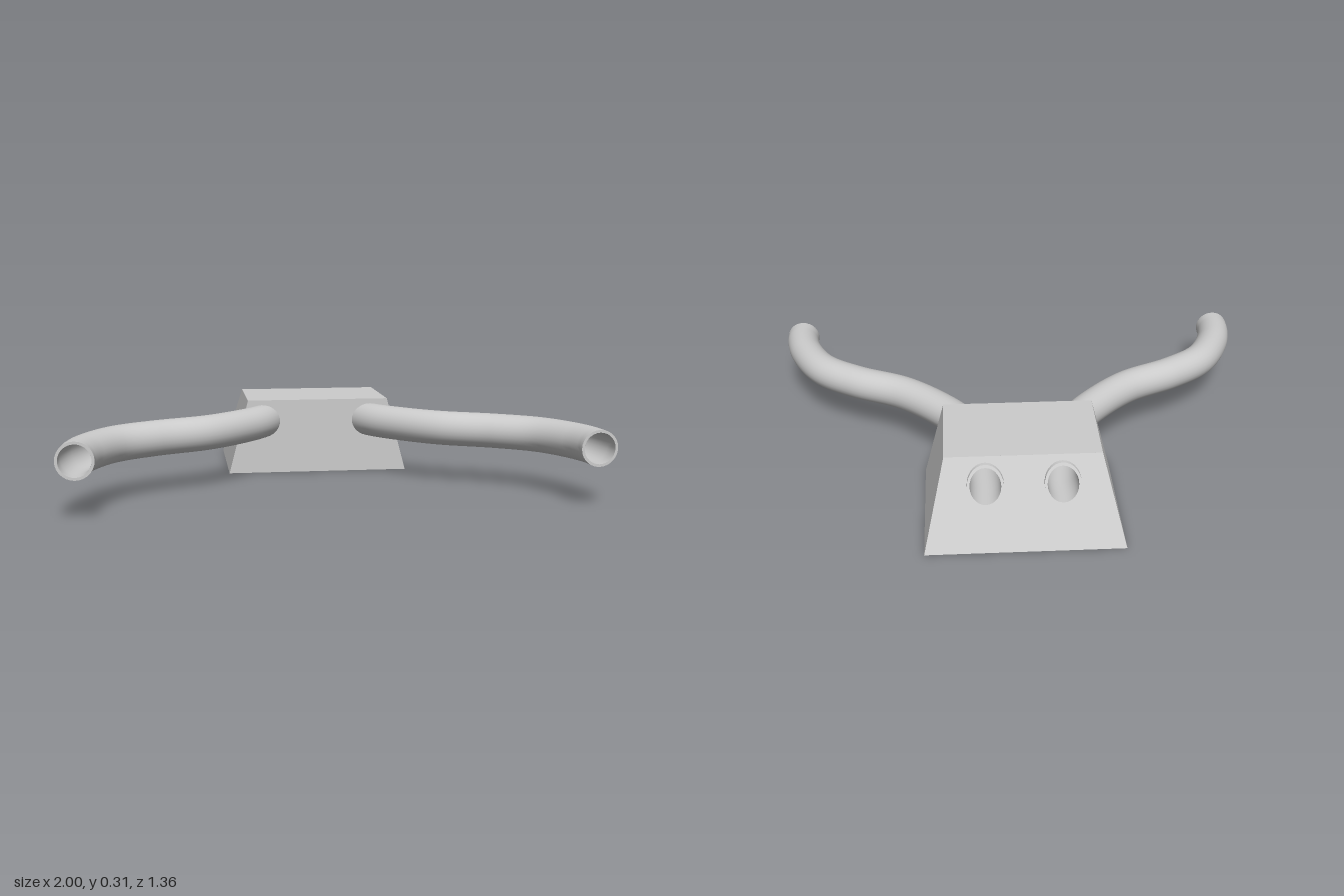
import * as THREE from 'three';

const SLOPE = 0.59;      // how far the back face leans, z per unit of height
const TUBE_Y = 0.217;    // height of the tube centre line
const BACK_Z = -0.567, FRONT_Z = 0.675;
const OUTER = 0.068, INNER = 0.058;
const HOLES = { left: 0.15, right: -0.135 };

const solid = new THREE.MeshStandardMaterial({ color: 0xcccccc, flatShading: true, side: THREE.DoubleSide });
const smooth = new THREE.MeshStandardMaterial({ color: 0xcccccc, side: THREE.DoubleSide });

function addMesh(parent, name, geometry, material) {
  const mesh = new THREE.Mesh(geometry, material);
  mesh.name = name;
  parent.add(mesh);
  return mesh;
}

// Flat panel from four corners, given counter-clockwise as seen from outside
function quad(...corners) {
  const g = new THREE.BufferGeometry();
  g.setAttribute('position', new THREE.Float32BufferAttribute(corners.flat(), 3));
  g.setIndex([0, 1, 2, 0, 2, 3]);
  g.computeVertexNormals();
  return g;
}

function buildHousing() {
  const housing = new THREE.Group();
  housing.name = 'housing';
  const h = 0.305, zf = -0.12, zb = -0.68, zt = -0.5;
  const [bl, br, tl, tr] = [-0.365, 0.38, -0.285, 0.3];
  addMesh(housing, 'housingFront', quad([bl, 0, zf], [br, 0, zf], [tr, h, zf], [tl, h, zf]), solid);
  addMesh(housing, 'housingTop', quad([tl, h, zf], [tr, h, zf], [tr, h, zt], [tl, h, zt]), solid);
  addMesh(housing, 'housingBase', quad([bl, 0, zb], [br, 0, zb], [br, 0, zf], [bl, 0, zf]), solid);
  addMesh(housing, 'housingLeftSide', quad([br, 0, zf], [br, 0, zb], [tr, h, zt], [tr, h, zf]), solid);
  addMesh(housing, 'housingRightSide', quad([bl, 0, zb], [bl, 0, zf], [tl, h, zf], [tl, h, zt]), solid);

  // Sloping back face, drawn in x and y with two openings, then leaned over
  const shape = new THREE.Shape([[bl, 0], [br, 0], [tr, h], [tl, h]].map(p => new THREE.Vector2(...p)));
  for (const x of Object.values(HOLES)) {
    shape.holes.push(new THREE.Path().absarc(x, TUBE_Y, INNER + 0.004, 0, Math.PI * 2, true));
  }
  const back = new THREE.ShapeGeometry(shape, 24);
  const p = back.attributes.position;
  for (let i = 0; i < p.count; i++) p.setZ(i, zb + SLOPE * p.getY(i));
  // Turn the triangles so they face backwards
  const idx = back.index;
  for (let i = 0; i < idx.count; i += 3) {
    const a = idx.getX(i);
    idx.setX(i, idx.getX(i + 1));
    idx.setX(i + 1, a);
  }
  back.computeVertexNormals();
  addMesh(housing, 'housingBack', back, solid);
  return housing;
}

// One tube wall: flat at the front end, cut along the slope at the back end
function tubeWall(curve, radius) {
  const rings = 56, sides = 28;
  const g = new THREE.TubeGeometry(curve, rings, radius, sides);
  const p = g.attributes.position;
  for (let i = 0; i < p.count; i++) {
    const ring = Math.floor(i / (sides + 1));
    let z = p.getZ(i);
    if (ring === 0) z = BACK_Z;
    if (ring === rings) z = FRONT_Z;
    const lean = 1 - THREE.MathUtils.smoothstep(z, BACK_Z, -0.25);
    p.setZ(i, z + SLOPE * (p.getY(i) - TUBE_Y) * lean);
  }
  return g;
}

// Rim joining inner and outer walls
function rim(x, z, lean) {
  const g = new THREE.RingGeometry(INNER, OUTER, 28);
  g.translate(x, TUBE_Y, z);
  const p = g.attributes.position;
  for (let i = 0; i < p.count; i++) p.setZ(i, z + lean * (p.getY(i) - TUBE_Y));
  g.computeVertexNormals();
  return g;
}

function buildTube(name, side, holeX) {
  const tube = new THREE.Group();
  tube.name = name;
  const path = [
    [Math.abs(holeX), BACK_Z], [Math.abs(holeX), -0.46], [0.168, -0.27], [0.228, -0.12],
    [0.31, -0.01], [0.465, 0.135], [0.66, 0.237], [0.81, 0.35],
    [0.9, 0.51], [0.928, 0.62], [0.931, FRONT_Z],
  ];
  const curve = new THREE.CatmullRomCurve3(path.map(([x, z]) => new THREE.Vector3(side * x, TUBE_Y, z)));
  addMesh(tube, name + 'Outer', tubeWall(curve, OUTER), smooth);
  addMesh(tube, name + 'Inner', tubeWall(curve, INNER), smooth);
  addMesh(tube, name + 'FrontRim', rim(side * 0.931, FRONT_Z, 0), smooth);
  addMesh(tube, name + 'BackRim', rim(holeX, BACK_Z, SLOPE), smooth);
  return tube;
}

export function createModel() {
  const model = new THREE.Group();
  model.name = 'twinTubeHousing';
  model.add(buildHousing());
  model.add(buildTube('leftTube', 1, HOLES.left));
  model.add(buildTube('rightTube', -1, HOLES.right));
  return model;
}
